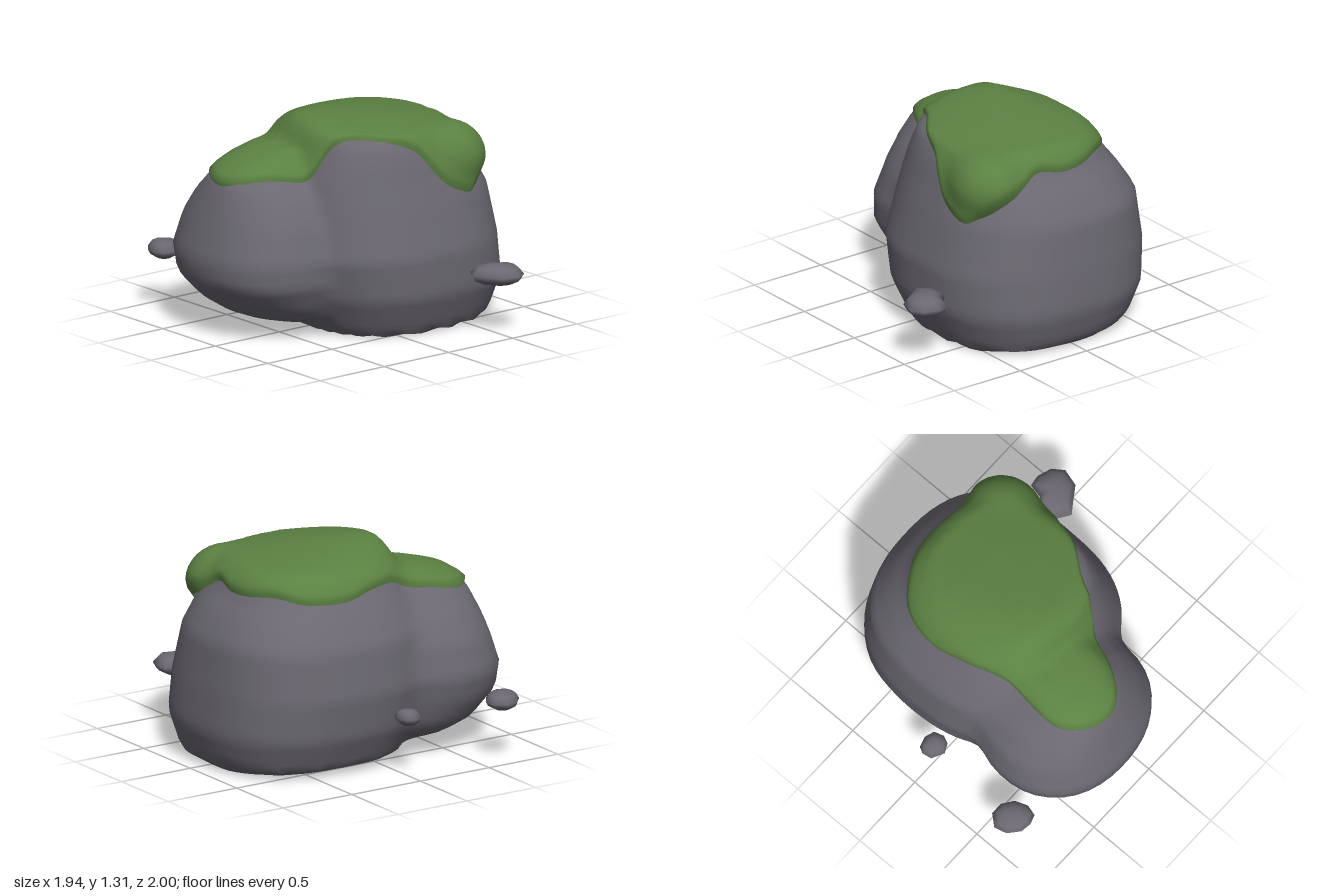
import * as THREE from 'three';
import { mergeVertices, toCreasedNormals } from 'three/addons/utils/BufferGeometryUtils.js';

// Cross-section extents per height: [y, xMin, xMax, zMin, zMax]
const MAIN = [
  [0, -0.28, 0.86, -0.5, 0.58], [0.05, -0.34, 0.91, -0.64, 0.61], [0.25, -0.44, 0.97, -0.73, 0.69],
  [0.5, -0.5, 0.95, -0.76, 0.69], [0.8, -0.46, 0.91, -0.72, 0.61], [0.95, -0.42, 0.82, -0.63, 0.56],
  [1.05, -0.38, 0.73, -0.56, 0.53], [1.15, -0.34, 0.67, -0.49, 0.49], [1.2, -0.32, 0.6, -0.42, 0.45],
  [1.24, -0.29, 0.33, -0.3, 0.25], [1.27, -0.25, 0.05, -0.2, 0.05],
];
const LOBE = [
  [0.06, -0.5, -0.1, -0.4, 0.1], [0.12, -0.7, 0, -0.55, 0.25], [0.2, -0.82, 0, -0.65, 0.3],
  [0.35, -0.96, 0, -0.72, 0.36], [0.5, -0.97, 0, -0.75, 0.36], [0.7, -0.91, 0, -0.7, 0.3],
  [0.85, -0.86, 0, -0.6, 0.22], [0.97, -0.81, 0, -0.48, 0.12], [1.05, -0.68, -0.1, -0.4, 0.06],
  [1.1, -0.5, -0.15, -0.35, 0],
];

// Rough signed distance to a stack of rounded cross-sections
function stackField(rows, power, p) {
  const last = rows.length - 1;
  const y = THREE.MathUtils.clamp(p.y, rows[0][0], rows[last][0]);
  let i = 0;
  while (i < last - 1 && rows[i + 1][0] < y) i++;
  const t = (y - rows[i][0]) / (rows[i + 1][0] - rows[i][0]);
  const [, x0, x1, z0, z1] = rows[i].map((v, k) => v + (rows[i + 1][k] - v) * t);
  const u = Math.abs(p.x - (x0 + x1) / 2) / ((x1 - x0) / 2);
  const v = Math.abs(p.z - (z0 + z1) / 2) / ((z1 - z0) / 2);
  const d = (u ** power + v ** power) ** (1 / power) - 1;
  return d * Math.min(x1 - x0, z1 - z0) / 2 + Math.abs(p.y - y) * 10;
}

function smoothMin(a, b, k) {
  const h = Math.max(k - Math.abs(a - b), 0) / k;
  return Math.min(a, b) - h * h * k / 4;
}

const rockField = p =>
  Math.max(smoothMin(stackField(MAIN, 2.5, p), stackField(LOBE, 2.2, p), 0.08), -p.y);

// Moss also swells over the front left shoulder
function mossField(p) {
  const d = Math.hypot((p.x - 0.48) / 0.24, (p.y - 1.0) / 0.21, (p.z - 0.36) / 0.22) - 1;
  return smoothMin(rockField(p), d * 0.2, 0.05);
}

const CENTRE = new THREE.Vector3(0.05, 0.5, -0.05);

// Outermost point of a field along a ray from the centre
function project(field, dir, lift = 0) {
  const at = r => CENTRE.clone().addScaledVector(dir, r);
  let outer = 1.4;
  while (outer > 0.1 && field(at(outer)) > 0) outer -= 0.015;
  let inner = outer;
  outer += 0.015;
  for (let i = 0; i < 12; i++) {
    const mid = (inner + outer) / 2;
    if (field(at(mid)) > 0) outer = mid; else inner = mid;
  }
  return at(inner + lift);
}

function rockGeometry() {
  let geo = new THREE.SphereGeometry(1, 80, 56);
  geo.deleteAttribute('normal');
  geo.deleteAttribute('uv');
  geo = mergeVertices(geo, 1e-4);
  const pos = geo.attributes.position;
  const dir = new THREE.Vector3();
  for (let i = 0; i < pos.count; i++) {
    const p = project(rockField, dir.fromBufferAttribute(pos, i).normalize());
    pos.setXYZ(i, p.x, p.y, p.z);
  }
  return toCreasedNormals(geo, 0.7);
}

// Surface from closed rings of equal length, each listed with its first ring innermost or topmost
function ringSurface(rings) {
  const n = rings[0].length, index = [];
  for (let r = 0; r < rings.length - 1; r++) {
    for (let j = 0; j < n; j++) {
      const a = r * n + j, b = r * n + (j + 1) % n;
      index.push(a, a + n, b + n, a, b + n, b);
    }
  }
  const geo = new THREE.BufferGeometry().setFromPoints(rings.flat());
  geo.setIndex(index);
  const merged = mergeVertices(geo, 1e-5);
  merged.computeVertexNormals();
  return merged;
}

// Moss rim, running left, front, right, back as seen from above
const MOSS_RIM = [
  [-0.85, 0.93, -0.17], [-0.8, 0.95, -0.05], [-0.62, 0.96, 0.07], [-0.42, 0.97, 0.17], [-0.27, 1.07, 0.21],
  [-0.17, 1.16, 0.3], [0, 1.13, 0.42], [0.15, 1.1, 0.5], [0.24, 1, 0.55], [0.35, 0.89, 0.59],
  [0.55, 0.82, 0.6], [0.65, 0.88, 0.57], [0.72, 0.95, 0.47], [0.74, 1, 0.36], [0.72, 1.04, 0.25],
  [0.67, 1.06, 0.13], [0.7, 1.04, -0.02], [0.66, 1.02, -0.17], [0.58, 1.03, -0.32], [0.48, 1.04, -0.5],
  [0.25, 1.05, -0.57], [0.02, 1.05, -0.5], [-0.2, 1.05, -0.44], [-0.45, 1, -0.45], [-0.68, 0.97, -0.45],
  [-0.81, 0.95, -0.33],
];

function mossGeometry() {
  const curve = new THREE.CatmullRomCurve3(MOSS_RIM.map(p => new THREE.Vector3(...p)), true);
  const rim = curve.getPoints(104).slice(0, 104).map(p => p.sub(CENTRE).normalize());
  const top = new THREE.Vector3(0.05, 0.72, 0.05).normalize();
  const steps = 22, rings = [];
  for (let i = 0; i <= steps; i++) {
    const t = i / steps;
    // Even thickness, tucked into the rock at the rim
    const lift = i === steps ? -0.02 : i === steps - 1 ? 0.022 : 0.03;
    rings.push(rim.map(d => project(mossField, top.clone().lerp(d, t).normalize(), lift)));
  }
  return ringSurface(rings);
}

// Pebble: a plan outline scaled through rounded layers [height, scale]
const LAYERS = [[1, 0], [0.95, 0.4], [0.75, 0.76], [0.1, 1], [-0.4, 0.88], [-0.85, 0.5], [-1, 0]];
function pebbleGeometry(outline, y, halfHeight) {
  const cx = outline.reduce((s, p) => s + p[0], 0) / outline.length;
  const cz = outline.reduce((s, p) => s + p[1], 0) / outline.length;
  return ringSurface(LAYERS.map(([h, s]) => outline.map(([x, z]) =>
    new THREE.Vector3(cx + (x - cx) * s, y + h * halfHeight, cz + (z - cz) * s))));
}

const PEBBLES = [
  ['frontPebble', 0.365, 0.065, [[0.34, 0.81], [0.39, 0.88], [0.45, 0.97], [0.56, 1], [0.63, 0.95],
    [0.66, 0.86], [0.65, 0.79], [0.56, 0.77], [0.52, 0.71], [0.4, 0.72]]],
  ['backRightPebble', 0.365, 0.057, [[-0.79, -0.84], [-0.77, -0.78], [-0.7, -0.76], [-0.62, -0.79],
    [-0.57, -0.86], [-0.57, -0.94], [-0.64, -1], [-0.72, -0.98], [-0.78, -0.91]]],
  ['backPebble', 0.36, 0.05, [[-0.1, -0.84], [-0.07, -0.78], [-0.02, -0.76], [0.04, -0.78],
    [0.06, -0.84], [0.04, -0.91], [0, -0.93], [-0.06, -0.92]]],
];

export function createModel() {
  const group = new THREE.Group();
  const stone = new THREE.MeshStandardMaterial({ color: 0x6b6871 });
  stone.name = 'stone grey';
  const green = new THREE.MeshStandardMaterial({ color: 0x5b8142, side: THREE.DoubleSide });
  green.name = 'moss green';
  const add = (name, geo, material) => {
    const mesh = new THREE.Mesh(geo, material);
    mesh.name = name;
    group.add(mesh);
  };
  add('boulder', rockGeometry(), stone);
  add('mossCap', mossGeometry(), green);
  for (const [name, y, h, outline] of PEBBLES) add(name, pebbleGeometry(outline, y, h), stone);
  return group;
}
